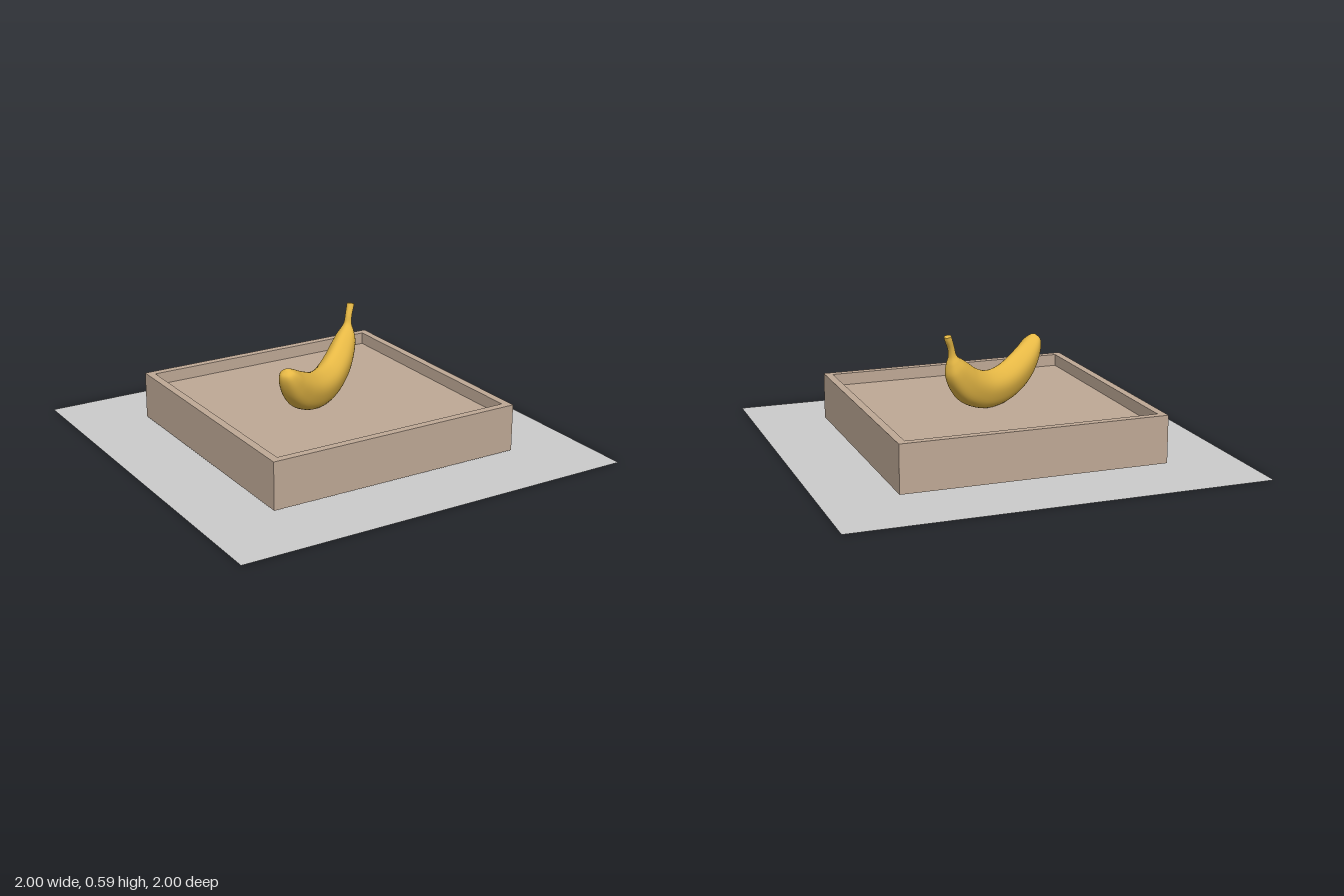
import * as THREE from 'three';

const mat = (color, side = THREE.FrontSide) => new THREE.MeshStandardMaterial({ color, side });

function addMesh(parent, name, geometry, material) {
  const mesh = new THREE.Mesh(geometry, material);
  mesh.name = name;
  parent.add(mesh);
  return mesh;
}

// Sections along the banana: outer (u, y), inner (u, y), lateral half-width
const SECTIONS = [
  [-0.348, 0.462, -0.328, 0.467, 0.012],
  [-0.366, 0.435, -0.308, 0.459, 0.035],
  [-0.358, 0.39, -0.282, 0.448, 0.05],
  [-0.31, 0.305, -0.235, 0.425, 0.062],
  [-0.235, 0.237, -0.16, 0.393, 0.068],
  [-0.12, 0.19, -0.08, 0.366, 0.071],
  [0, 0.173, 0, 0.355, 0.072],
  [0.12, 0.185, 0.08, 0.362, 0.071],
  [0.24, 0.237, 0.165, 0.395, 0.067],
  [0.31, 0.305, 0.22, 0.43, 0.06],
  [0.352, 0.385, 0.265, 0.458, 0.048],
  [0.352, 0.44, 0.295, 0.475, 0.033],
  [0.345, 0.48, 0.312, 0.495, 0.02],
  [0.352, 0.52, 0.322, 0.53, 0.017],
  [0.372, 0.56, 0.338, 0.57, 0.018],
  [0.378, 0.578, 0.345, 0.587, 0.018],
];

function bananaGeometry(rings = 90, sides = 40) {
  const outer = new THREE.CatmullRomCurve3(SECTIONS.map(s => new THREE.Vector3(s[0], s[1], s[4])));
  const inner = new THREE.CatmullRomCurve3(SECTIONS.map(s => new THREE.Vector3(s[2], s[3], s[4])));
  const pos = [], idx = [];
  const ring = t => {
    const a = outer.getPoint(t), b = inner.getPoint(t);
    for (let j = 0; j < sides; j++) {
      const th = (j / sides) * Math.PI * 2;
      const r = 1 + 0.025 * Math.cos(5 * th); // soft lengthwise ridges
      const k = 0.5 + 0.5 * Math.cos(th) * r;
      pos.push(a.x + (b.x - a.x) * k, a.y + (b.y - a.y) * k, a.z * Math.sin(th) * r);
    }
    return a.add(b).multiplyScalar(0.5);
  };
  let start, end;
  for (let i = 0; i <= rings; i++) {
    const c = ring(i / rings);
    if (i === 0) start = c;
    end = c;
  }
  for (let i = 0; i < rings; i++) {
    for (let j = 0; j < sides; j++) {
      const a = i * sides + j, b = i * sides + (j + 1) % sides;
      idx.push(a, b, a + sides, b, b + sides, a + sides);
    }
  }
  // blossom tip, sharing the first ring
  const tip = pos.length / 3;
  pos.push(start.x, start.y + 0.003, 0);
  for (let j = 0; j < sides; j++) idx.push(tip, (j + 1) % sides, j);
  // flat stem end, with its own ring for a sharp edge
  const rim = pos.length / 3;
  ring(1);
  pos.push(end.x, end.y, 0);
  for (let j = 0; j < sides; j++) idx.push(rim + sides, rim + j, rim + (j + 1) % sides);

  const g = new THREE.BufferGeometry();
  g.setAttribute('position', new THREE.Float32BufferAttribute(pos, 3));
  g.setIndex(idx);
  g.computeVertexNormals();
  return g;
}

export function createModel() {
  const model = new THREE.Group();
  model.name = 'bananaInTray';

  // Ground sheet
  const sheet = addMesh(model, 'groundSheet', new THREE.PlaneGeometry(2, 2), mat(0xcccccc, THREE.DoubleSide));
  sheet.rotation.x = -Math.PI / 2;

  // Square tray: raised frame around a recessed panel
  const tray = new THREE.Group();
  tray.name = 'tray';
  model.add(tray);
  const wood = mat(0xbfa996);
  const half = 0.645, inside = 0.607, bottom = 0.012, top = 0.242, panelTop = 0.183;
  const square = (Type, h) => new Type([[-h, -h], [h, -h], [h, h], [-h, h]].map(p => new THREE.Vector2(...p)));
  const outline = square(THREE.Shape, half);
  outline.holes.push(square(THREE.Path, inside));
  const frame = addMesh(tray, 'trayFrame',
    new THREE.ExtrudeGeometry(outline, { depth: top - bottom, bevelEnabled: false }), wood);
  frame.rotation.x = -Math.PI / 2;
  frame.position.y = bottom;
  const panel = addMesh(tray, 'trayPanel',
    new THREE.BoxGeometry(inside * 2, panelTop - bottom, inside * 2), wood);
  panel.position.y = (panelTop + bottom) / 2;

  // Banana lying diagonally, stem towards the back left
  const banana = addMesh(model, 'banana', bananaGeometry(), mat(0xe6b845));
  banana.position.set(-0.04, 0, 0.02);
  banana.rotation.y = THREE.MathUtils.degToRad(33.4);

  return model;
}
